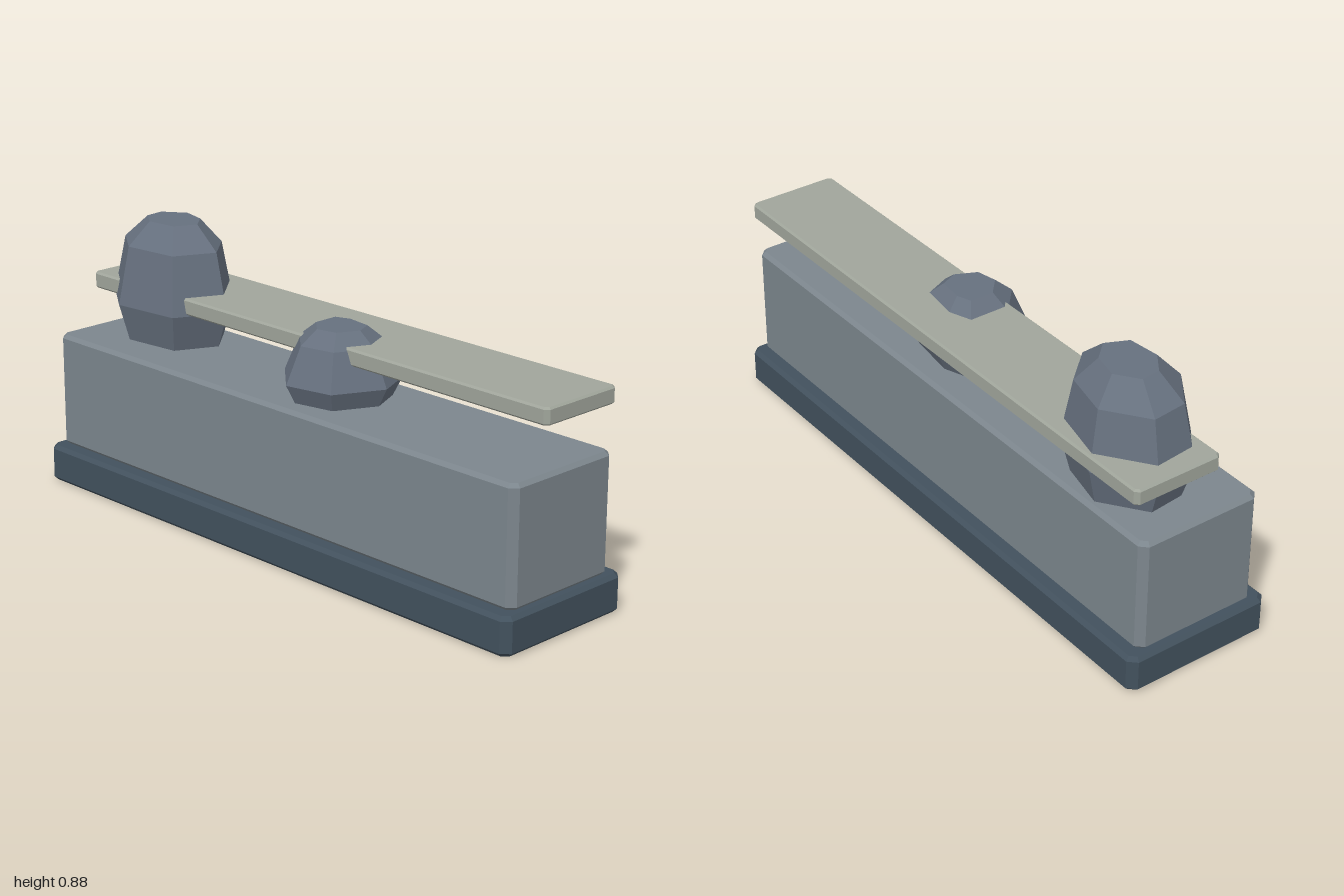
import * as THREE from 'three';

// Faceted solid lofted through rings of [x, y, z]; each ring runs clockwise seen from above
function loft(rings) {
  const pos = [];
  const tri = (...corners) => corners.forEach((p) => pos.push(...p));
  const n = rings[0].length;
  for (let r = 0; r < rings.length - 1; r++) {
    const lo = rings[r], hi = rings[r + 1];
    for (let i = 0; i < n; i++) {
      const j = (i + 1) % n;
      tri(lo[i], hi[i], hi[j]);
      tri(lo[i], hi[j], lo[j]);
    }
  }
  const bottom = rings[0], top = rings[rings.length - 1];
  for (let i = 1; i < n - 1; i++) {
    tri(bottom[0], bottom[i], bottom[i + 1]);
    tri(top[0], top[i + 1], top[i]);
  }
  const geo = new THREE.BufferGeometry();
  geo.setAttribute('position', new THREE.Float32BufferAttribute(pos, 3));
  geo.computeVertexNormals();
  return geo;
}

// Box with cut vertical corners and bevelled top and bottom rims
function bevelledBox(hx, hz, y0, y1, corner, bevel, zc = 0) {
  const ring = (y, inset) => {
    const x = hx - inset, z = hz - inset, c = corner - inset * 0.6;
    return [
      [-x, -z + c], [-x + c, -z], [x - c, -z], [x, -z + c],
      [x, z - c], [x - c, z], [-x + c, z], [-x, z - c],
    ].map(([px, pz]) => [px, y, pz + zc]);
  };
  return loft([ring(y0, bevel), ring(y0 + bevel, 0), ring(y1 - bevel, 0), ring(y1, bevel)]);
}

// Boulder: one seven-sided outline scaled about its centre at several heights
function boulder(outline, cx, cz, levels) {
  return loft(levels.map(([y, s]) =>
    outline.map(([x, z]) => [cx + (x - cx) * s, y, cz + (z - cz) * s])));
}

export function createModel() {
  const group = new THREE.Group();
  const add = (name, geo, color) => {
    const mesh = new THREE.Mesh(geo, new THREE.MeshStandardMaterial({ color, flatShading: true }));
    mesh.name = name;
    group.add(mesh);
  };

  // Plinth, block and the offset slab floating above it
  add('base', bevelledBox(1, 0.25, 0, 0.12, 0.025, 0.012), 0x42515d);
  add('block', bevelledBox(0.98, 0.21, 0.12, 0.492, 0.023, 0.012), 0x7c868d);
  add('slab', bevelledBox(0.967, 0.149, 0.622, 0.675, 0.013, 0.006, -0.08), 0xa0a59b);

  // Boulders piercing the slab
  add('largeBoulder', boulder(
    [[-0.92, -0.11], [-0.76, -0.225], [-0.57, -0.18], [-0.455, -0.05],
      [-0.53, 0.11], [-0.76, 0.135], [-0.905, 0.03]],
    -0.69, -0.045, [[0.5, 0.83], [0.618, 1], [0.805, 0.81], [0.88, 0.44]]), 0x66707e);
  add('smallBoulder', boulder(
    [[-0.07, -0.12], [0.04, -0.16], [0.23, -0.135], [0.285, -0.01],
      [0.21, 0.145], [0.055, 0.178], [-0.07, 0.065]],
    0.105, 0.005, [[0.485, 0.82], [0.55, 1], [0.665, 0.73], [0.71, 0.43]]), 0x66707e);

  return group;
}
